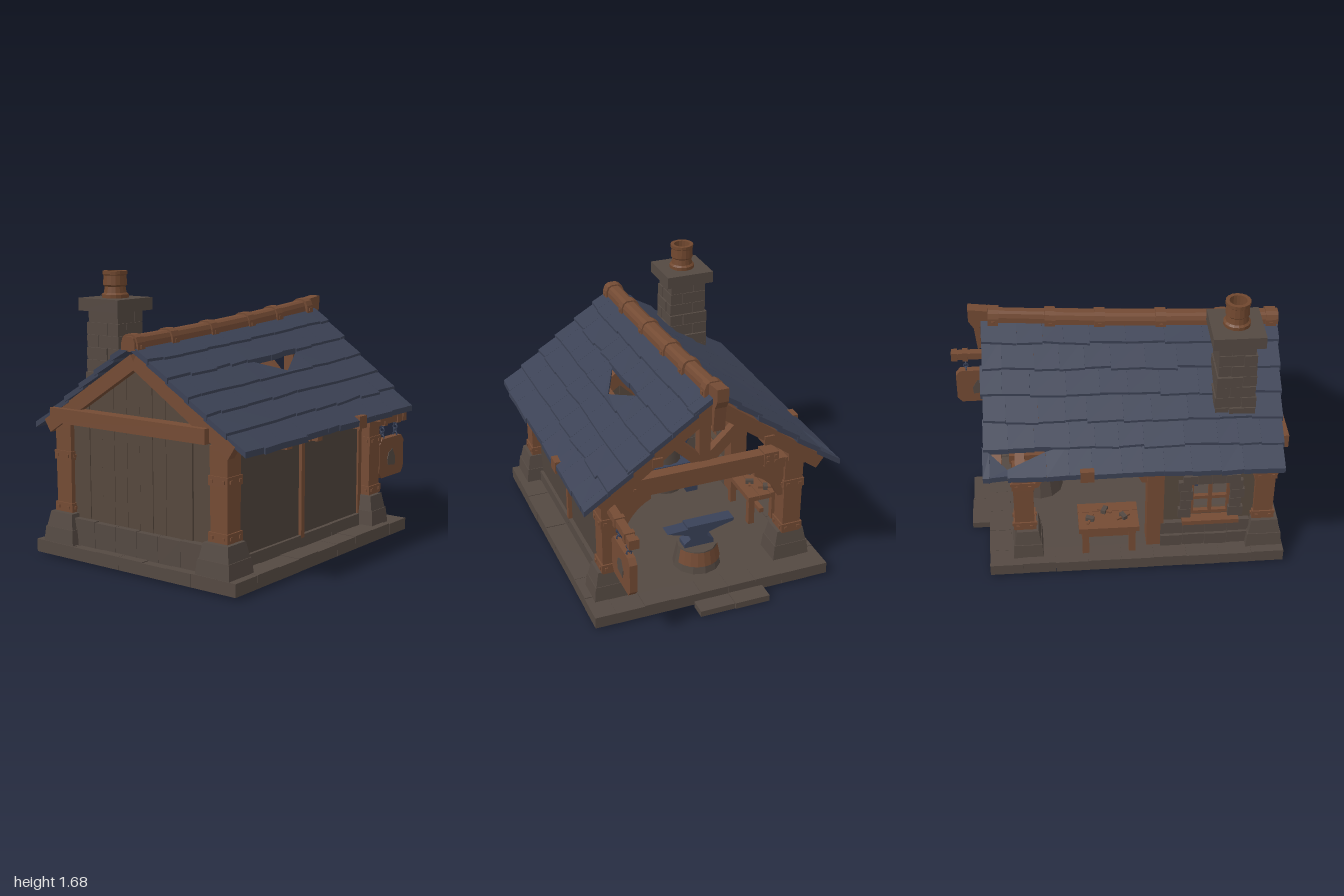
import * as THREE from 'three';

const mat = (name, color, side = THREE.FrontSide) => {
  const m = new THREE.MeshStandardMaterial({ color, side });
  m.name = name;
  return m;
};

export function createModel() {
  const root = new THREE.Group();
  root.name = 'blacksmithWorkshop';
  const wood = mat('warmWood', 0x744b34), stone = mat('stone', 0x544942), wall = mat('wallPanels', 0x4e433c);
  const boards = mat('gableBoards', 0x56483d), slate = mat('slateTiles', 0x3c4255), iron = mat('darkIron', 0x394158);
  const dark = mat('soot', 0x2a2624), pot = mat('clayPot', 0x70472e, THREE.DoubleSide), sheet = mat('sheetIron', 0x3e4760, THREE.DoubleSide);

  let seed = 7;
  const rnd = (a = 0, b = 1) => {
    seed = (seed * 16807) % 2147483647;
    return a + (b - a) * (seed / 2147483647);
  };
  const add = (name, geo, m, x = 0, y = 0, z = 0) => {
    const mesh = new THREE.Mesh(geo, m);
    mesh.name = name;
    mesh.position.set(x, y, z);
    root.add(mesh);
    return mesh;
  };
  const faceted = geo => {
    const flat = geo.toNonIndexed();
    flat.computeVertexNormals();
    return flat;
  };
  // box from its minimum and maximum corners
  const box = (name, m, x0, x1, y0, y1, z0, z1) =>
    add(name, new THREE.BoxGeometry(x1 - x0, y1 - y0, z1 - z0), m, (x0 + x1) / 2, (y0 + y1) / 2, (z0 + z1) / 2);
  // straight timber between two points
  const beam = (name, a, b, w, h) => {
    const p = new THREE.Vector3(...a), q = new THREE.Vector3(...b);
    const mesh = add(name, new THREE.BoxGeometry(w, h, p.distanceTo(q)), wood);
    mesh.position.copy(p).add(q).multiplyScalar(0.5);
    mesh.lookAt(q);
  };
  // outline extruded about z = 0; alongX turns the outline into the z-y plane
  const plate = (name, m, pts, depth, x, y, z, alongX = false) => {
    const shape = pts instanceof THREE.Shape ? pts : new THREE.Shape(pts.map(p => new THREE.Vector2(...p)));
    const geo = new THREE.ExtrudeGeometry(shape, { depth, bevelEnabled: false, curveSegments: 6 });
    geo.translate(0, 0, -depth / 2);
    if (alongX) geo.rotateY(-Math.PI / 2);
    return add(name, geo, m, x, y, z);
  };
  // tapered block with flat sides; narrow scales its width along x
  const taper = (name, m, x, y0, y1, z, wTop, wBottom, narrow = 1) => {
    const geo = new THREE.CylinderGeometry(wTop * Math.SQRT1_2, wBottom * Math.SQRT1_2, y1 - y0, 4);
    geo.rotateY(Math.PI / 4);
    geo.scale(narrow, 1, 1);
    return add(name, faceted(geo), m, x, (y0 + y1) / 2, z);
  };

  // floor slab, edging stones and entrance step
  box('floorSlab', stone, -0.96, 0.75, 0.015, 0.085, -0.71, 0.71);
  for (const s of [-1, 1]) {
    for (let i = 0; i < 9; i++) {
      const x = -0.995 + i * 0.1972, z = s * (0.68 + rnd(-0.004, 0));
      box('edgingStone', stone, x, x + 0.196, 0.015, 0.09 + rnd(-0.003, 0.003), z - 0.065, z + 0.065);
    }
    for (let i = 0; i < 7; i++) {
      const z = -0.615 + i * 0.1757, x = s > 0 ? 0.715 : -0.93;
      box('edgingStone', stone, x - 0.065, x + 0.065, 0.015, 0.09 + rnd(-0.003, 0.003), z, z + 0.1745);
    }
  }
  box('entranceStep', stone, 0.78, 0.89, 0, 0.04, -0.31, -0.09);
  box('entranceStep', stone, 0.78, 0.885, 0, 0.038, -0.087, 0.13);

  // posts with stone feet, strapped bands and bolts
  const posts = [[-0.87, 0.58], [0.56, 0.58], [-0.87, -0.57], [0.56, -0.57]];
  for (const [x, z] of posts) {
    const narrow = x > 0 ? 0.77 : 0.94, footX = x > 0 ? 0.545 : -0.88;
    taper('postFootLower', stone, footX, 0.085, 0.18, z, 0.215, 0.235, narrow);
    taper('postFootUpper', stone, footX, 0.18, 0.27, z, 0.17, 0.205, narrow);
    taper('post', wood, x, 0.26, 0.8, z, 0.12, 0.115);
    box('footPad', slate, x - 0.085, x + 0.085, 0.012, 0.0155, z - 0.085, z + 0.085);
    for (const y of [0.3, 0.61]) {
      box('postBand', wood, x - 0.067, x + 0.067, y - 0.027, y + 0.027, z - 0.067, z + 0.067);
      for (const u of [-0.04, 0.04]) {
        box('bandBolt', wood, x + u - 0.009, x + u + 0.009, y - 0.009, y + 0.009, z - 0.074, z + 0.074);
        box('bandBolt', wood, x - 0.074, x + 0.074, y - 0.009, y + 0.009, z + u - 0.009, z + u + 0.009);
      }
    }
  }
  box('middlePost', wood, -0.27, -0.17, 0.09, 0.8, -0.63, -0.52);

  // closed long wall with low stone course and centre batten
  box('sideWall', wall, -0.83, -0.17, 0.09, 0.83, 0.545, 0.585);
  box('sideWall', wall, -0.17, 0.47, 0.09, 0.83, 0.54, 0.58);
  box('wallBatten', wood, -0.185, -0.152, 0.14, 0.8, 0.58, 0.605);
  box('wallEndPost', wood, 0.45, 0.485, 0.16, 0.8, 0.53, 0.592);
  for (let i = 0; i < 4; i++) box('wallPlinth', stone, -0.78 + i * 0.307, -0.474 + i * 0.307, 0.085, 0.155 + rnd(0, 0.006), 0.52, 0.605);

  // boarded gable
  for (let i = 0; i < 12; i++) {
    const z0 = -0.57 + i * 0.095, z1 = z0 + 0.093;
    const top = z => 1.25 - 0.65 * Math.abs(z);
    const pts = [[z0, 0.09], [z1, 0.09], [z1, top(z1)], [z0, top(z0)]];
    if (z0 < 0 && z1 > 0) pts.splice(3, 0, [0, top(0)]);
    plate('gableBoard', boards, pts, 0.04, -0.88 + rnd(-0.008, 0.008), 0, 0, true);
  }
  for (let i = 0; i < 6; i++) {
    const z = -0.48 + i * 0.16;
    box('gablePlinth', stone, -0.94, -0.81, 0.085, 0.24 + rnd(-0.01, 0.01), z, z + 0.157);
  }
  box('gableRail', wood, -0.985, -0.9, 0.81, 0.895, -0.62, 0.53);

  // short back wall with window opening
  const backWall = new THREE.Shape([[-0.83, 0.09], [-0.25, 0.09], [-0.25, 0.82], [-0.83, 0.82]].map(p => new THREE.Vector2(...p)));
  backWall.holes.push(new THREE.Path([[-0.67, 0.31], [-0.67, 0.56], [-0.43, 0.56], [-0.43, 0.31]].map(p => new THREE.Vector2(...p))));
  plate('backWall', boards, backWall, 0.06, 0, 0, -0.57);
  for (let r = 0; r < 2; r++) for (let i = 0; i < 4; i++) {
    const x = -0.79 + i * 0.135;
    box('backPlinth', stone, x, x + 0.132, 0.085 + r * 0.09, 0.172 + r * 0.09, -0.645 + r * 0.015 + rnd(-0.005, 0.005), -0.52);
  }
  for (let i = 0; i < 4; i++) {
    for (const x of [-0.7, -0.4]) box('windowStone', stone, x - 0.03 - rnd(0, 0.02), x + 0.03 + rnd(0, 0.015), 0.3 + i * 0.07, 0.367 + i * 0.07, -0.63, -0.53);
    box('windowLintel', stone, -0.72 + i * 0.085, -0.638 + i * 0.085, 0.565, 0.625 + (i % 3 ? 0.015 : 0), -0.635, -0.53);
  }
  box('windowSill', wood, -0.72, -0.38, 0.27, 0.3, -0.665, -0.53);
  for (const x of [-0.66, -0.55, -0.44]) box('windowBar', wood, x - 0.011, x + 0.011, 0.3, 0.57, -0.6, -0.575);
  for (const y of [0.315, 0.43, 0.55]) box('windowBar', wood, -0.67, -0.43, y - 0.011, y + 0.011, -0.6, -0.575);

  // wall plates, ties, rafters and gable truss
  for (const z of [-0.57, 0.58]) box('wallPlate', wood, -0.93, 0.63, 0.775, 0.835, z - 0.045, z + 0.045);
  for (const x of [-0.2, 0.57]) {
    box('tieBeam', wood, x - 0.045, x + 0.045, 0.735, 0.8, -0.7, 0.7);
    box('kingPost', wood, x - 0.03, x + 0.03, 0.8, 1.25, -0.035, 0.035);
    for (const s of [-1, 1]) beam('trussStrut', [x, 0.87, s * 0.02], [x, 1.08, s * 0.235], 0.05, 0.068);
  }
  box('collarBeam', wood, 0.59, 0.665, 0.81, 0.88, -0.44, 0.53);
  for (const z of [0.48, -0.39]) {
    box('collarPlate', wood, 0.58, 0.675, 0.8, z > 0 ? 0.905 : 0.89, z - 0.045, z + 0.045);
    for (const u of [-0.025, 0.025]) for (const y of [0.83, 0.865]) box('plateBolt', wood, 0.67, 0.683, y - 0.008, y + 0.008, z + u - 0.008, z + u + 0.008);
  }
  for (const x of [-0.92, -0.2, 0.57, 0.7]) for (const s of [-1, 1]) {
    beam('rafter', [x, 0.785 + 0.01 * x, s * 0.68], [x, 1.26 + 0.055 * x, 0], 0.055, 0.085);
  }
  for (const s of [-1, 1]) {
    box('eavePeg', wood, 0.15, 0.23, 0.755, 0.83, s * 0.755 - 0.03, s * 0.755 + 0.03);
    for (const x of [-0.5, -0.2]) box('rafterEnd', wood, x - 0.025, x + 0.025, 0.735, 0.79, s * 0.71 - 0.03, s * 0.71 + 0.03);
    box('purlin', wood, -0.92, 0.74, 0.99, 1.045, s * 0.34 - 0.03, s * 0.34 + 0.03);
  }

  // curved knee braces
  const knee = new THREE.Shape();
  knee.moveTo(0, 0);
  knee.lineTo(0.03, 0);
  knee.quadraticCurveTo(0.08, 0.12, 0.19, 0.17);
  knee.lineTo(0.19, 0.215);
  knee.lineTo(0, 0.215);
  for (const z of [0.52, -0.51]) {
    const k = plate('kneeBrace', wood, knee, 0.06, 0.57, 0.53, z);
    k.rotation.y = z > 0 ? Math.PI / 2 : -Math.PI / 2;
  }
  plate('kneeBrace', wood, knee, 0.06, -0.17, 0.57, -0.57);
  plate('kneeBrace', wood, knee, 0.06, 0.5, 0.57, -0.57).rotation.y = Math.PI;

  // overlapping roof tiles, each a thin slab on the sagging slope
  const slope = (x, t, s, lift) => {
    const ridge = 1.335 + 0.055 * x + 0.01 * x * x, eave = 0.78 + 0.018 * x;
    return [x, ridge + (eave - ridge) * t + lift, s * (0.015 + 0.76 * t)];
  };
  const gaps = [{ s: 1, row: 2, x: [-0.2, 0, 0.22], t: 0.47 }, { s: -1, row: 5, x: [0.42, 0.64, 0.74], t: 0.945 }];
  const order = [0, 1, 2, 0, 2, 3, 4, 6, 5, 4, 7, 6, 0, 4, 5, 0, 5, 1, 1, 5, 6, 1, 6, 2, 2, 6, 7, 2, 7, 3, 3, 7, 4, 3, 4, 0];
  for (const s of [-1, 1]) for (let row = 0; row < 6; row++) {
    const gap = gaps.find(g => g.s === s && g.row === row);
    const cuts = [-0.985 + row * 0.008];
    while (cuts.at(-1) < 0.55) cuts.push(cuts.at(-1) + rnd(0.12, 0.24));
    cuts.push(0.775 + rnd(-0.012, 0.01));
    const xs = gap ? cuts.filter((x, i) => i === 0 || i === cuts.length - 1 || gap.x.every(g => Math.abs(x - g) > 0.05)).concat(gap.x).sort((a, b) => a - b) : cuts;
    const topT = x => {
      const base = Math.max(0, row / 6 - 0.03);
      return !gap || x < gap.x[0] || x > gap.x[2] ? base : x === gap.x[1] ? gap.t : row / 6 + 0.01;
    };
    for (let i = 0; i < xs.length - 1; i++) {
      const a = xs[i], b = xs[i + 1] - 0.0006, end = (row + 1) / 6 + rnd(-0.005, 0.011), tilt = rnd(-0.005, 0.005);
      const quad = h => [slope(a, topT(xs[i]), s, h), slope(b, topT(xs[i + 1]), s, h), slope(b, end + tilt, s, h + 0.018), slope(a, end - tilt, s, h + 0.018)];
      const v = [...quad(-0.022), ...quad(0.012)];
      const idx = s > 0 ? order : order.map((_, k) => order[k - (k % 3) + 2 - (k % 3)]);
      const geo = new THREE.BufferGeometry();
      geo.setAttribute('position', new THREE.Float32BufferAttribute(idx.flatMap(k => v[k]), 3));
      geo.computeVertexNormals();
      add('roofTile', geo, slate);
    }
  }

  // rounded ridge beam in sections, straps and hooked end
  const ridgeY = x => 1.352 + 0.058 * x + 0.018 * x * x;
  const ridgePiece = (name, a, b, w, h) => {
    const half = [[0.5, -0.5], [0.48, 0.05], [0.38, 0.36], [0.2, 0.5]];
    const pts = [...half, ...half.map(([u, v]) => [-u, v]).reverse()].map(([u, v]) => [u * w, v * h]);
    const piece = plate(name, wood, pts, b - a, (a + b) / 2, (ridgeY(a) + ridgeY(b)) / 2, 0, true);
    piece.rotation.z = Math.atan2(ridgeY(b) - ridgeY(a), b - a);
  };
  const stops = [-0.99, -0.65, -0.29, 0.07, 0.36, 0.69, 0.8];
  [0.1, 0.104, 0.11, 0.104, 0.09, 0.07].forEach((w, i) => ridgePiece('ridgeBeam', stops[i], stops[i + 1] + 0.005, w, 0.078));
  for (const x of [-0.945, -0.65, -0.29, 0.07, 0.36, 0.69]) {
    ridgePiece('ridgeStrap', x - 0.031, x + 0.031, 0.125, 0.096);
    box('strapBolt', wood, x - 0.01, x + 0.01, ridgeY(x) - 0.03, ridgeY(x) - 0.01, -0.067, 0.067);
  }
  plate('ridgeHook', wood, [[0.72, 1.36], [0.77, 1.34], [0.77, 1.19], [0.79, 1.18], [0.805, 1.33], [0.835, 1.38], [0.835, 1.46], [0.72, 1.445]], 0.07, 0, 0, 0);

  // chimney of staggered blocks with cap and pot
  const cx = -0.68, cz = -0.373;
  box('chimneyCore', stone, cx - 0.1, cx + 0.1, 0.85, 1.46, cz - 0.11, cz + 0.11);
  for (let r = 0; r < 8; r++) {
    const y = 0.88 + r * 0.0725, half = 0.132 - r * 0.002, split = (r % 2 ? 0.035 : -0.035);
    for (const sx of [-1, 1]) for (const sz of [-1, 1]) {
      const ex = half * 0.9 + rnd(-0.006, 0.007), ez = half + rnd(-0.006, 0.007);
      const x = [split + sx * 0.002, sx * ex].sort((p, q) => p - q), z = [-split + sz * 0.002, sz * ez].sort((p, q) => p - q);
      box('chimneyBlock', stone, cx + x[0], cx + x[1], y, y + 0.069, cz + z[0], cz + z[1]);
    }
  }
  box('chimneyCap', stone, cx - 0.148, cx + 0.15, 1.452, 1.525, cz - 0.153, cz + 0.153);
  const potProfile = [[0.078, 1.52], [0.078, 1.545], [0.066, 1.555], [0.06, 1.59], [0.07, 1.6], [0.066, 1.655], [0.072, 1.66], [0.072, 1.68], [0.05, 1.68], [0.046, 1.54]];
  add('chimneyPot', faceted(new THREE.LatheGeometry(potProfile.map(p => new THREE.Vector2(...p)), 16)), pot, cx, 0, cz);
  add('potSoot', new THREE.CylinderGeometry(0.047, 0.047, 0.01, 16), dark, cx, 1.56, cz);

  // hanging sign
  box('signArm', wood, 0.6, 0.995, 0.678, 0.725, 0.555, 0.605);
  box('signArmCap', wood, 0.96, 1.0, 0.672, 0.731, 0.55, 0.61);
  for (const x of [0.75, 0.91]) {
    box('armBand', wood, x - 0.018, x + 0.018, 0.67, 0.733, 0.548, 0.612);
    for (let i = 0; i < 4; i++) {
      const link = add('chainLink', new THREE.TorusGeometry(0.015, 0.005, 5, 8), iron, x, 0.662 - i * 0.023, 0.58);
      link.rotation.y = i % 2 ? Math.PI / 2 : 0;
    }
  }
  plate('signBoard', wood, [[0.715, 0.335], [0.95, 0.335], [0.98, 0.37], [0.98, 0.55], [0.95, 0.585], [0.715, 0.585], [0.685, 0.55], [0.685, 0.37]], 0.045, 0, 0, 0.58);
  plate('wornPatch', stone, [[0.79, 0.41], [0.87, 0.4], [0.875, 0.45], [0.84, 0.51], [0.795, 0.49], [0.78, 0.45]], 0.052, 0, 0, 0.58);

  // anvil on its stone block with a wooden facing
  const ax = 0.46;
  add('anvilBlock', faceted(new THREE.CylinderGeometry(0.12, 0.148, 0.14, 12)), stone, ax, 0.155, -0.015);
  add('blockFacing', faceted(new THREE.CylinderGeometry(0.125, 0.142, 0.09, 8, 1, true, 0.3, 2.5)), wood, ax, 0.178, -0.015);
  plate('anvil', iron, [[0.19, 0.35], [0.09, 0.32], [0.045, 0.305], [0.04, 0.28], [0.08, 0.25], [0.08, 0.222], [-0.11, 0.222], [-0.11, 0.25], [-0.07, 0.28],
    [-0.07, 0.305], [-0.13, 0.325], [-0.24, 0.352], [-0.24, 0.37], [0.06, 0.37], [0.06, 0.355]], 0.085, ax, 0, 0, true);

  // forge: stone drum, curved iron stand and hood
  const fx = -0.4, fz = -0.145;
  add('forgeDrum', new THREE.CylinderGeometry(0.1, 0.11, 0.38, 12), stone, fx, 0.28, fz);
  box('forgeShelf', iron, fx - 0.12, fx + 0.12, 0.27, 0.31, -0.32, 0.0);
  plate('forgeLeg', iron, [[-0.08, 0.28], [-0.3, 0.28], [-0.28, 0.2], [-0.33, 0.13], [-0.33, 0.09], [-0.25, 0.09], [-0.22, 0.18], [-0.16, 0.23]], 0.08, fx + 0.09, 0, 0, true);
  for (const s of [-1, 1]) box('hoodBracket', iron, fx - 0.03, fx + 0.03, 0.3, 0.47, fz + s * 0.125 - 0.02, fz + s * 0.125 + 0.02);
  const hood = [[0.155, 0.46], [0.165, 0.475], [0.16, 0.505], [0.12, 0.54], [0.098, 0.62], [0.08, 0.73], [0.068, 0.75], [0.068, 0.92], [0, 0.92]];
  add('forgeHood', new THREE.LatheGeometry(hood.map(p => new THREE.Vector2(...p)), 20), sheet, fx, 0, fz);

  // work table with tools, and a small bench
  const table = (name, x0, x1, z0, z1, top) => {
    for (let i = 0; i < 3; i++) {
      const z = z0 + (z1 - z0) * i / 3;
      box(name + 'Top', wood, x0, x1, top - 0.035, top + rnd(-0.004, 0.002), z, z + (z1 - z0) / 3 - 0.003);
    }
    for (const x of [x0 + 0.04, x1 - 0.04]) for (const z of [z0 + 0.035, z1 - 0.035]) box(name + 'Leg', wood, x - 0.02, x + 0.02, 0.085, top - 0.03, z - 0.02, z + 0.02);
    box(name + 'Rail', wood, x0 + 0.04, x1 - 0.04, 0.14, 0.17, (z0 + z1) / 2 - 0.015, (z0 + z1) / 2 + 0.015);
  };
  table('workTable', -0.12, 0.24, -0.69, -0.46, 0.3);
  table('bench', -0.2, 0.2, 0.37, 0.51, 0.3);
  for (const [x, z, turn] of [[-0.03, -0.6, 0.5], [0.08, -0.54, -0.4], [0.17, -0.61, 1.2]]) {
    box('toolHandle', wood, x - 0.045, x + 0.045, 0.3, 0.312, z - 0.007, z + 0.007).rotation.y = turn;
    box('toolHead', stone, x - 0.014, x + 0.014, 0.3, 0.325, z - 0.025, z + 0.025).rotation.y = turn;
  }
  return root;
}
